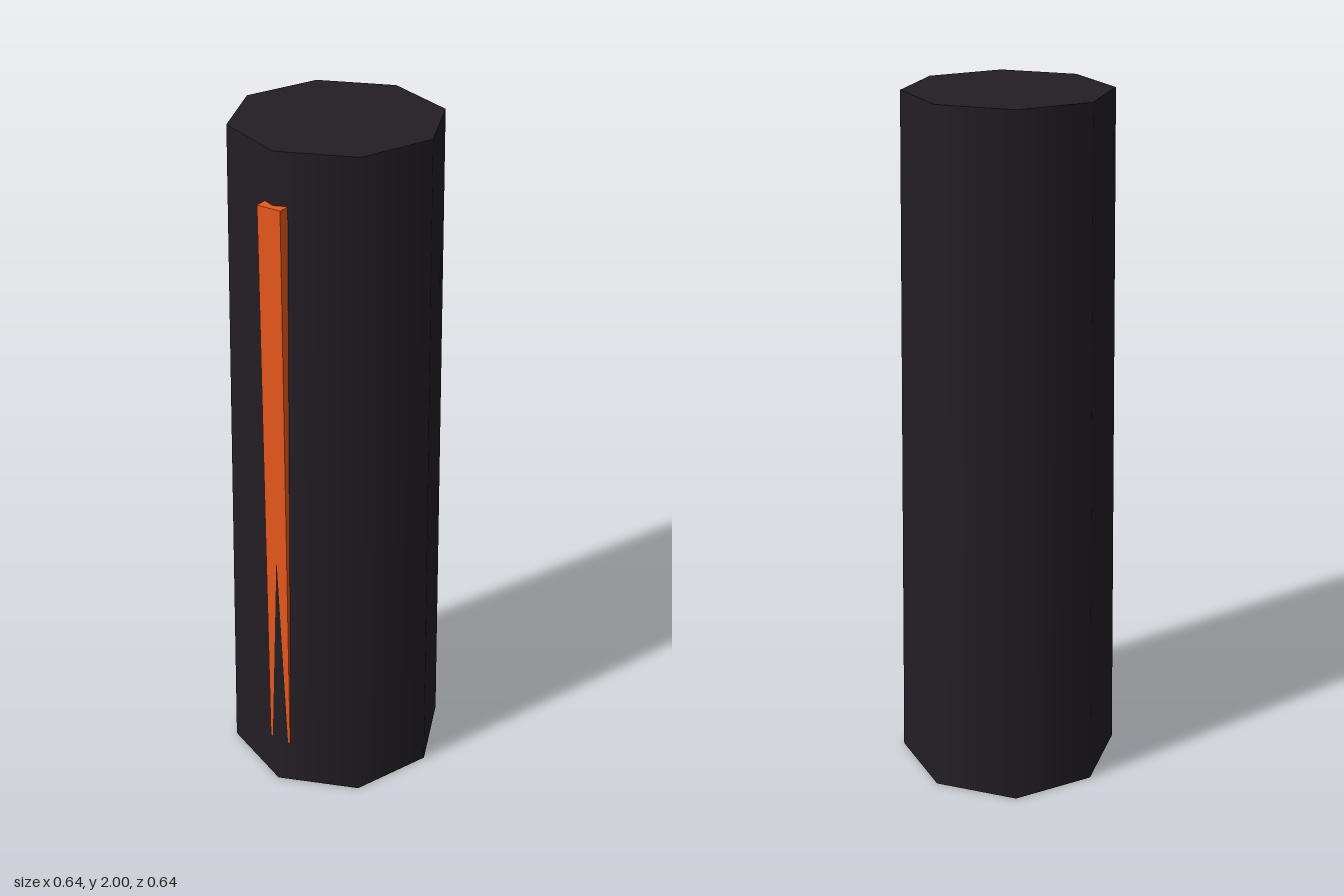
import * as THREE from 'three';

export function createModel() {
  const group = new THREE.Group();

  // Add a named mesh centred at height y and depth z
  const add = (name, geometry, color, y, z = 0) => {
    const mesh = new THREE.Mesh(geometry, new THREE.MeshStandardMaterial({ color }));
    mesh.name = name;
    mesh.position.set(0, y, z);
    group.add(mesh);
  };

  // Tapered eight-sided column with smooth sides and one corner facing front
  add('column', new THREE.CylinderGeometry(0.286, 0.321, 2, 8), 0x231e25, 1);

  // Upright strip partly sunk into the front corner
  add('frontStrip', new THREE.BoxGeometry(0.07, 1.715, 0.045), 0xe8591c, 1, 0.2845);

  return group;
}
